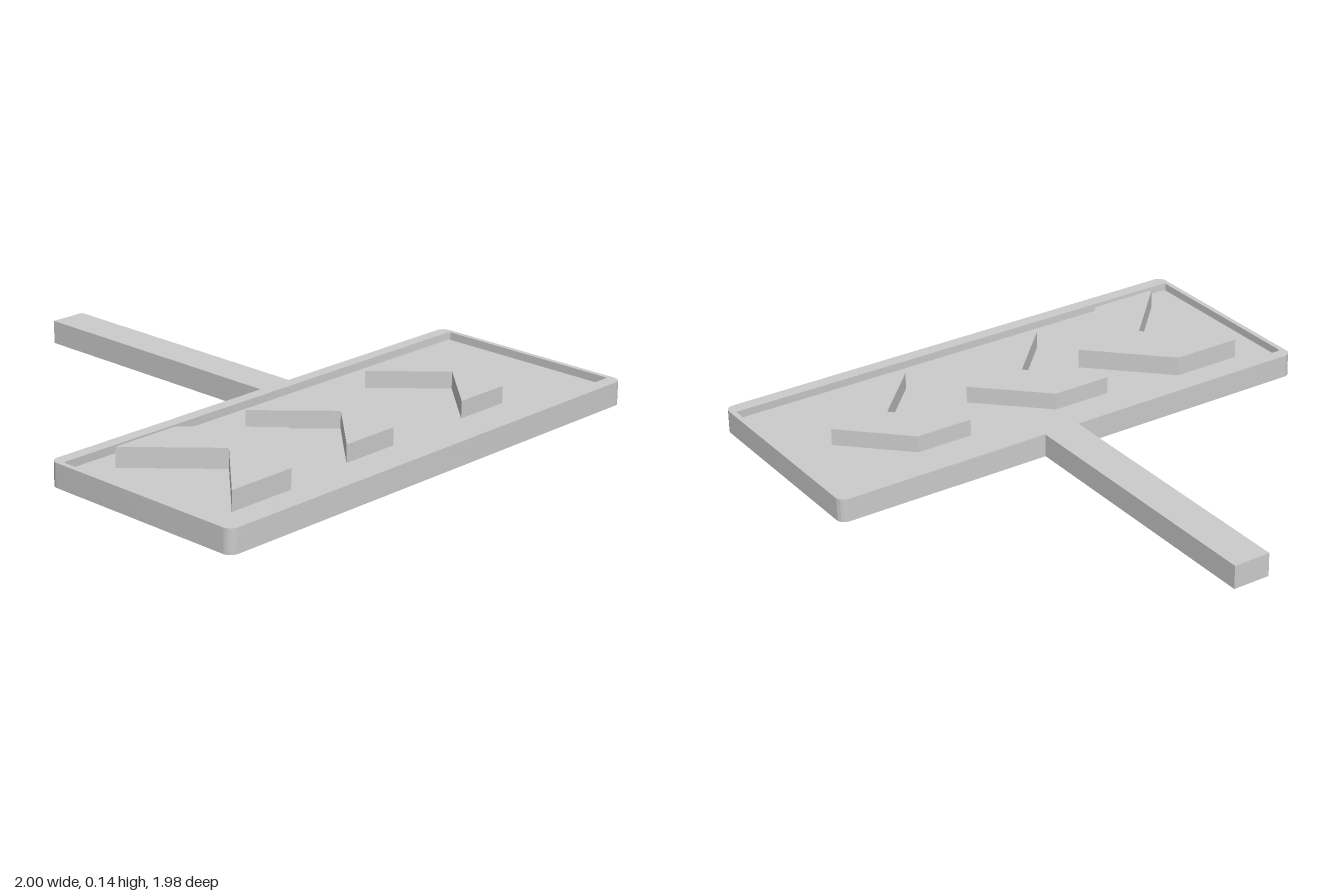
import * as THREE from 'three';
import { toCreasedNormals } from 'three/addons/utils/BufferGeometryUtils.js';

const BOARD = { x: 1, back: 0.135, front: 0.988, r: 0.035 };
const HANDLE = { x0: 0, x1: 0.145, back: -0.988 };
const FLOOR = 0.06, RIM_TOP = 0.09;

// Traces a rounded rectangle in plan; shape y is -z.
// An optional handle sticks out of the back edge.
function tracePlan(path, x, back, front, r, handle) {
  const top = -back, bottom = -front;
  path.moveTo(-x + r, bottom);
  path.lineTo(x - r, bottom);
  path.absarc(x - r, bottom + r, r, -Math.PI / 2, 0);
  path.lineTo(x, top - r);
  path.absarc(x - r, top - r, r, 0, Math.PI / 2);
  if (handle) {
    path.lineTo(handle.x1, top);
    path.lineTo(handle.x1, -handle.back);
    path.lineTo(handle.x0, -handle.back);
    path.lineTo(handle.x0, top);
  }
  path.lineTo(-x + r, top);
  path.absarc(-x + r, top - r, r, Math.PI / 2, Math.PI);
  path.lineTo(-x, bottom + r);
  path.absarc(-x + r, bottom + r, r, Math.PI, Math.PI * 1.5);
  return path;
}

export function createModel() {
  const group = new THREE.Group();
  const material = new THREE.MeshStandardMaterial({ color: 0xcccccc });

  // Extrudes a plan shape upward from y0 to y1
  const addSlab = (name, shape, y0, y1) => {
    const geometry = new THREE.ExtrudeGeometry(shape, {
      depth: y1 - y0, bevelEnabled: false, curveSegments: 8,
    });
    geometry.rotateX(-Math.PI / 2).translate(0, y0, 0);
    const mesh = new THREE.Mesh(toCreasedNormals(geometry, 0.6), material);
    mesh.name = name;
    group.add(mesh);
  };

  const outline = () =>
    tracePlan(new THREE.Shape(), BOARD.x, BOARD.back, BOARD.front, BOARD.r, HANDLE);

  // Lower board and post in one piece
  addSlab('boardAndPost', outline(), 0, FLOOR);

  // Raised rim around the recessed panel, flush with the post top
  const rim = outline();
  rim.holes.push(tracePlan(new THREE.Path(), 0.98, 0.183, 0.935, 0.01));
  addSlab('rimAndPostTop', rim, FLOOR, RIM_TOP);

  // Three chevrons pointing to +x: tail, shoulder, tip, notch, half width, top
  const zMid = 0.559;
  [
    [-0.84, -0.567, -0.295, -0.58, 0.274, 0.135],
    [-0.263, -0.028, 0.213, -0.035, 0.238, 0.126],
    [0.34, 0.565, 0.792, 0.556, 0.228, 0.125],
  ].forEach(([tail, shoulder, tip, notch, half, top], i) => {
    const chevron = new THREE.Shape([
      [tail, -half], [shoulder, -half], [tip, 0],
      [shoulder, half], [tail, half], [notch, 0],
    ].map(([x, y]) => new THREE.Vector2(x, y - zMid)));
    addSlab(`chevron${i + 1}`, chevron, FLOOR, top);
  });

  return group;
}
